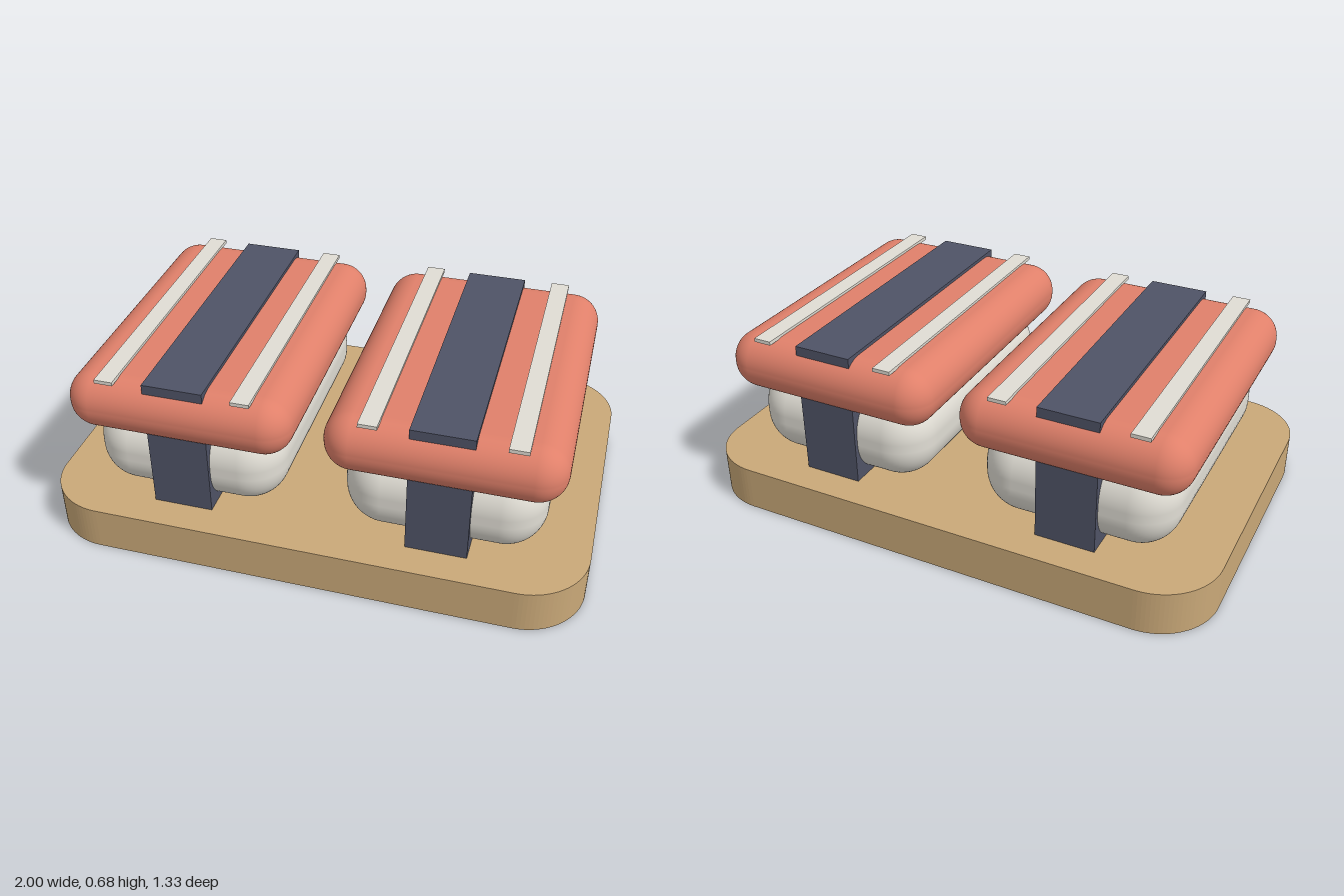
import * as THREE from 'three';
import { RoundedBoxGeometry } from 'three/addons/geometries/RoundedBoxGeometry.js';

const material = (name, color) => {
  const m = new THREE.MeshStandardMaterial({ color });
  m.name = name;
  return m;
};

function addPart(parent, name, geometry, mat, x, y, z) {
  const mesh = new THREE.Mesh(geometry, mat);
  mesh.name = name;
  mesh.position.set(x, y, z);
  parent.add(mesh);
  return mesh;
}

// Rounded rectangle outline centred on the origin
function roundedRect(w, d, r) {
  const x = w / 2, y = d / 2;
  const s = new THREE.Shape();
  s.moveTo(x, -y + r);
  s.absarc(x - r, y - r, r, 0, Math.PI / 2);
  s.absarc(-x + r, y - r, r, Math.PI / 2, Math.PI);
  s.absarc(-x + r, -y + r, r, Math.PI, Math.PI * 1.5);
  s.absarc(x - r, -y + r, r, Math.PI * 1.5, Math.PI * 2);
  return s;
}

export function createModel() {
  const wood = material('wood', 0xc9a878);
  const rice = material('rice white', 0xe0ddd4);
  const salmon = material('salmon', 0xe0806a);
  const seaweed = material('dark seaweed', 0x4f5366);

  const model = new THREE.Group();
  model.name = 'sushiBoard';

  // Serving board
  const boardHeight = 0.167;
  const boardGeometry = new THREE.ExtrudeGeometry(roundedRect(2, 1.333, 0.23), {
    depth: boardHeight, bevelEnabled: false, curveSegments: 12,
  });
  boardGeometry.rotateX(-Math.PI / 2);
  addPart(model, 'board', boardGeometry, wood, 0, 0, 0);

  // Shared geometries for the two pieces
  const riceGeometry = new RoundedBoxGeometry(0.72, 0.333, 1.06, 8, 0.15);
  const toppingGeometry = new RoundedBoxGeometry(0.834, 0.22, 1.167, 8, 0.105);
  const bandGeometry = new THREE.BoxGeometry(0.222, 0.513, 1.09);
  const stripeGeometry = new THREE.BoxGeometry(0.068, 0.014, 1.11);

  for (const side of [-1, 1]) {
    const piece = new THREE.Group();
    piece.name = side > 0 ? 'leftPiece' : 'rightPiece';
    piece.position.set(side * 0.472, boardHeight, 0);
    addPart(piece, 'riceBlock', riceGeometry, rice, 0, 0.1665, 0);
    addPart(piece, 'topping', toppingGeometry, salmon, 0, 0.39, 0);
    addPart(piece, 'seaweedBand', bandGeometry, seaweed, 0, 0.2565, 0);
    // Pale stripes along the topping
    for (const x of [-0.25, 0.25]) {
      addPart(piece, 'toppingStripe', stripeGeometry, rice, x, 0.503, 0);
    }
    model.add(piece);
  }
  return model;
}
